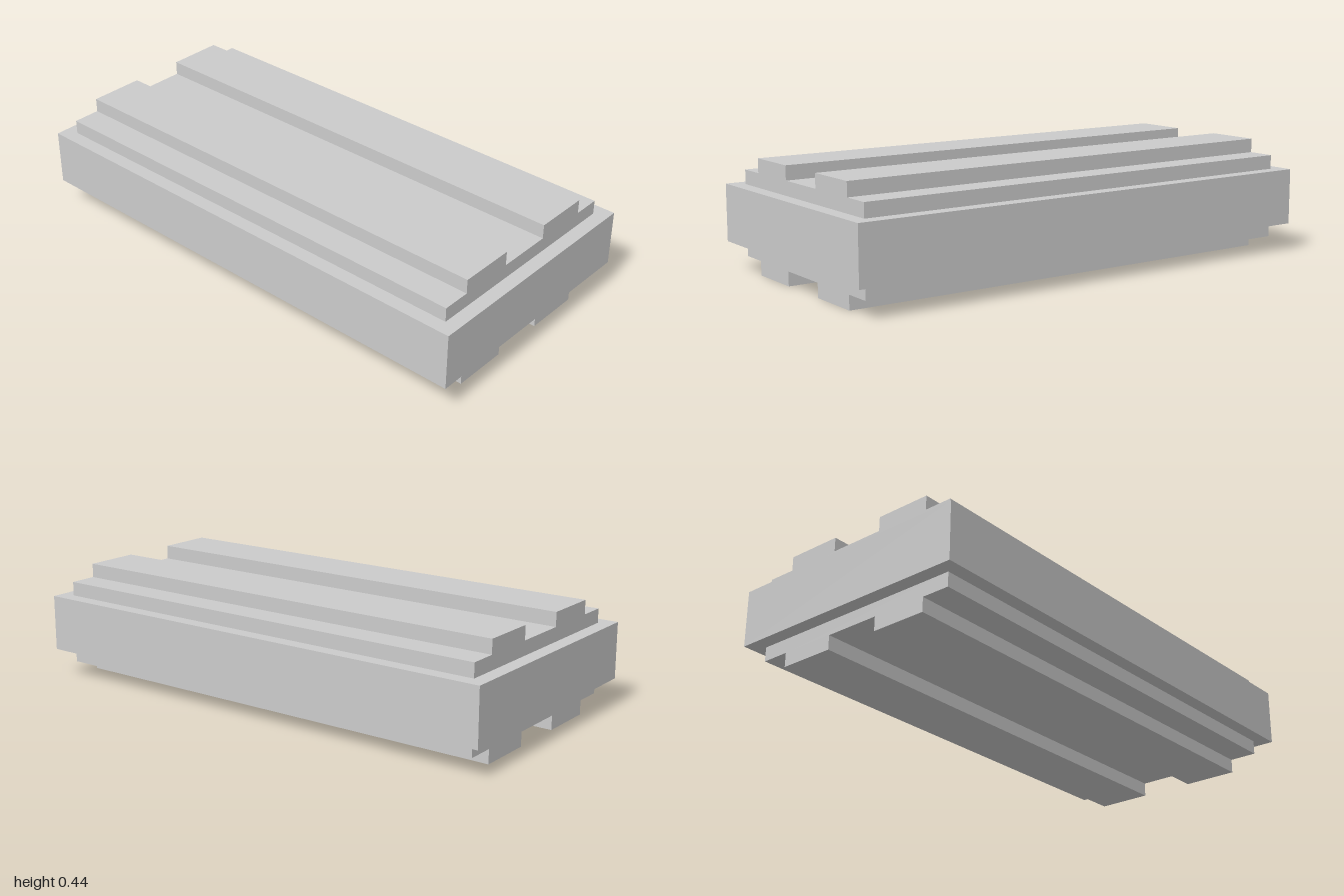
import * as THREE from 'three';

// All dimensions are whole multiples of one modular unit
const U = 1 / 18;

export function createModel() {
  const model = new THREE.Group();
  model.name = 'ridgedBlock';
  const material = new THREE.MeshStandardMaterial({ color: 0xcccccc, flatShading: true });

  // Wide central slab
  const slab = new THREE.Mesh(new THREE.BoxGeometry(18 * U, 4 * U, 36 * U), material);
  slab.name = 'slab';
  slab.position.y = 4 * U;
  model.add(slab);

  // Inset plate with two lengthwise ridges, as half a cross-section mirrored in x
  const half = [[8, 0], [8, 1], [6, 1], [6, 2], [2, 2], [2, 1]];
  const outline = [...half, ...half.map(([x, y]) => [-x, y]).reverse()];
  const shape = new THREE.Shape(outline.map(([x, y]) => new THREE.Vector2(x * U, y * U)));
  const plateGeometry = new THREE.ExtrudeGeometry(shape, { depth: 34 * U, bevelEnabled: false });
  plateGeometry.translate(0, 0, -17 * U);

  // The same plate on top and, turned over, underneath
  for (const [name, y, turn] of [['topRidgedPlate', 6, 0], ['bottomRidgedPlate', 2, Math.PI]]) {
    const plate = new THREE.Mesh(plateGeometry, material);
    plate.name = name;
    plate.position.y = y * U;
    plate.rotation.z = turn;
    model.add(plate);
  }

  return model;
}
